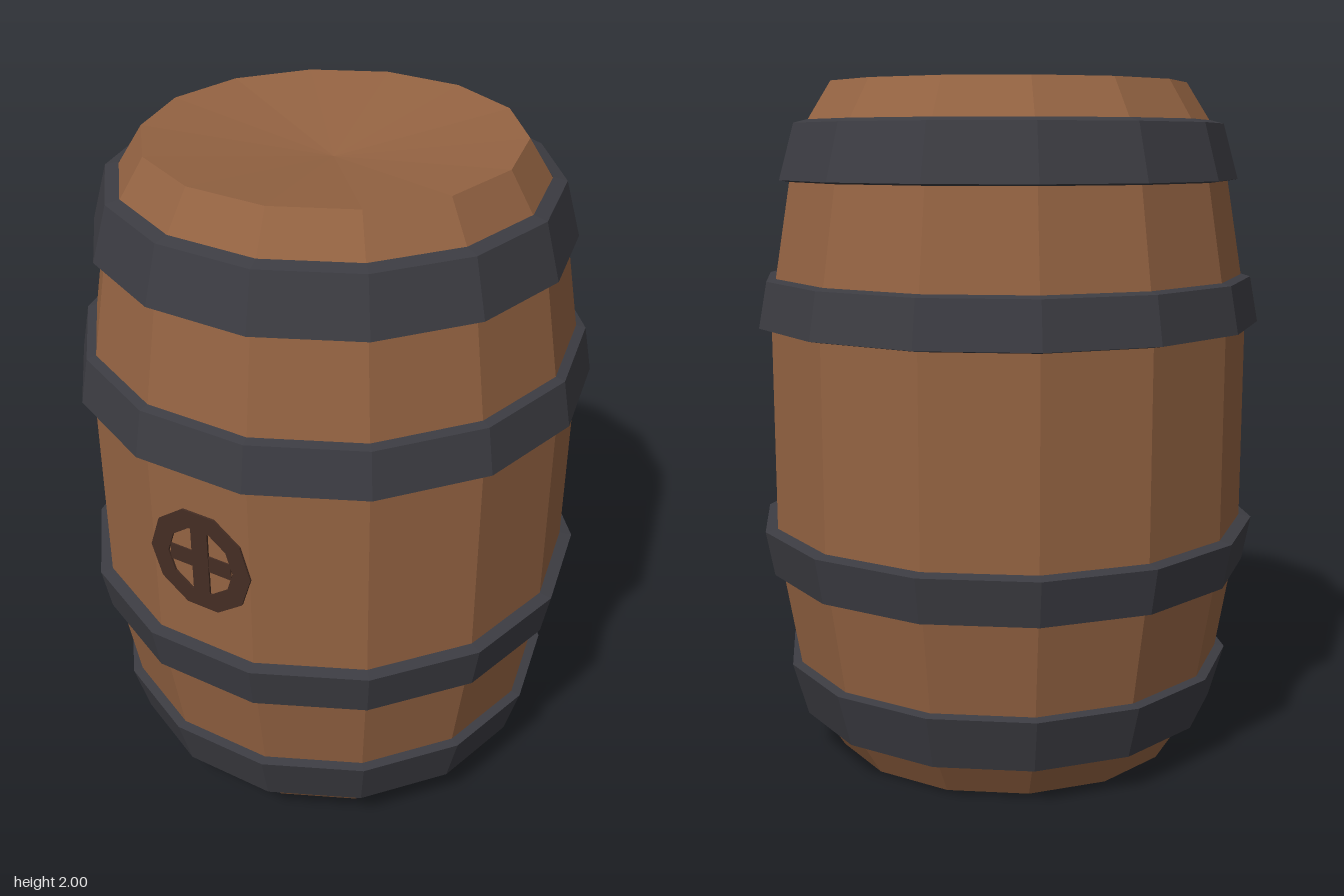
import * as THREE from 'three';

const SIDES = 14;

function material(name, color) {
  return new THREE.MeshStandardMaterial({ name, color, flatShading: true });
}

// Revolve a bottom-to-top [radius, y] profile with a flat side facing the front
function turned(name, profile, mat) {
  const points = profile.map(([r, y]) => new THREE.Vector2(r, y));
  const mesh = new THREE.Mesh(new THREE.LatheGeometry(points, SIDES, Math.PI / SIDES), mat);
  mesh.name = name;
  return mesh;
}

// Mirror a profile about mid height, keeping it bottom to top
const flip = (profile) => profile.map(([r, y]) => [r, 2 - y]).reverse();

function decagon(Type, radius) {
  const shape = new Type();
  for (let i = 0; i < 10; i++) {
    const a = (i / 10) * Math.PI * 2;
    const x = radius * Math.cos(a), y = radius * Math.sin(a);
    if (i) shape.lineTo(x, y); else shape.moveTo(x, y);
  }
  shape.closePath();
  return shape;
}

export function createModel() {
  const group = new THREE.Group();
  group.name = 'barrel';
  const wood = material('wood', 0x946342);
  const iron = material('iron', 0x3c3c42);
  const darkWood = material('dark wood', 0x452d23);

  // Body with slightly dished ends
  const upper = [[0.718, 1.35], [0.637, 1.83], [0.53, 2], [0, 1.93]];
  group.add(turned('body', [...flip(upper), ...upper], wood));

  // Hoops, mirrored top to bottom
  const hoops = {
    Outer: [[0.62, 1.715], [0.645, 1.715], [0.685, 1.722], [0.64, 1.882], [0.6, 1.892]],
    Middle: [[0.69, 1.295], [0.718, 1.295], [0.755, 1.302], [0.73, 1.436], [0.69, 1.446]],
  };
  for (const [name, profile] of Object.entries(hoops)) {
    group.add(turned('upper' + name + 'Hoop', profile, iron));
    group.add(turned('lower' + name + 'Hoop', flip(profile), iron));
  }

  // Bung: a thin ring and cross on the front stave
  const bung = new THREE.Group();
  bung.name = 'bung';
  bung.position.set(0, 1, 0.718 * Math.cos(Math.PI / SIDES));
  const ringShape = decagon(THREE.Shape, 0.165);
  ringShape.holes.push(decagon(THREE.Path, 0.107));
  const ring = new THREE.Mesh(
    new THREE.ExtrudeGeometry(ringShape, { depth: 0.006, bevelEnabled: false }), darkWood);
  ring.name = 'bungRing';
  bung.add(ring);
  [['bungBarAcross', 0.2, 0.052, 0.004], ['bungBarUpright', 0.054, 0.205, 0.006]].forEach(([name, w, h, d]) => {
    const bar = new THREE.Mesh(new THREE.BoxGeometry(w, h, d), darkWood);
    bar.name = name;
    bar.position.z = d / 2;
    bung.add(bar);
  });
  group.add(bung);

  return group;
}
